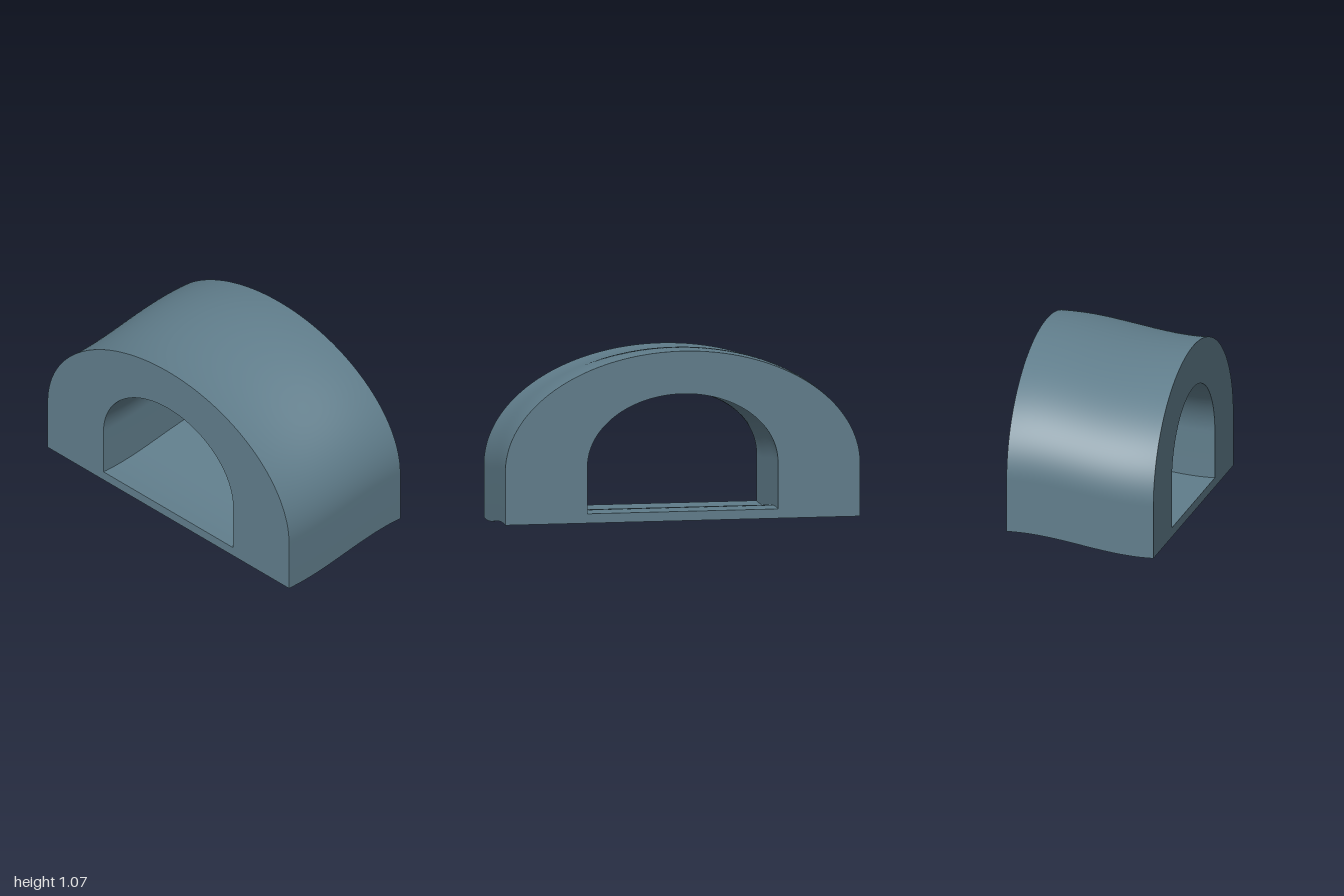
import * as THREE from 'three';
import { toCreasedNormals } from 'three/addons/utils/BufferGeometryUtils.js';

const DEPTH = 0.84;
const RISE = 0.105;

// Straight-sided arch outline closed by a half ellipse
function traceArch(path, halfWidth, bottom, spring, top) {
  path.moveTo(-halfWidth, bottom);
  path.lineTo(halfWidth, bottom);
  path.lineTo(halfWidth, spring);
  path.absellipse(0, spring, halfWidth, top - spring, 0, Math.PI, false, 0);
  path.lineTo(-halfWidth, bottom);
  return path;
}

export function createModel() {
  const slateBlue = new THREE.MeshStandardMaterial({ color: 0x607d8b });
  slateBlue.name = 'slateBlue';

  // Arch section with its opening
  const section = traceArch(new THREE.Shape(), 1, 0, 0.3, 0.962);
  section.holes.push(traceArch(new THREE.Path(), 0.537, 0.053, 0.32, 0.72));

  const geometry = new THREE.ExtrudeGeometry(section, {
    depth: DEPTH, steps: 32, curveSegments: 64, bevelEnabled: false,
  });
  geometry.translate(0, 0, -DEPTH / 2);

  // Raise the section along a gentle S-curve towards the back
  const position = geometry.attributes.position;
  for (let i = 0; i < position.count; i++) {
    const t = 0.5 - position.getZ(i) / DEPTH;
    const lift = RISE * (1 - Math.cos(Math.PI * t)) / 2;
    position.setY(i, position.getY(i) + lift);
  }

  const tunnel = new THREE.Mesh(toCreasedNormals(geometry, 0.6), slateBlue);
  tunnel.name = 'archedTunnel';

  const group = new THREE.Group();
  group.name = 'tunnelSegment';
  group.add(tunnel);
  return group;
}
